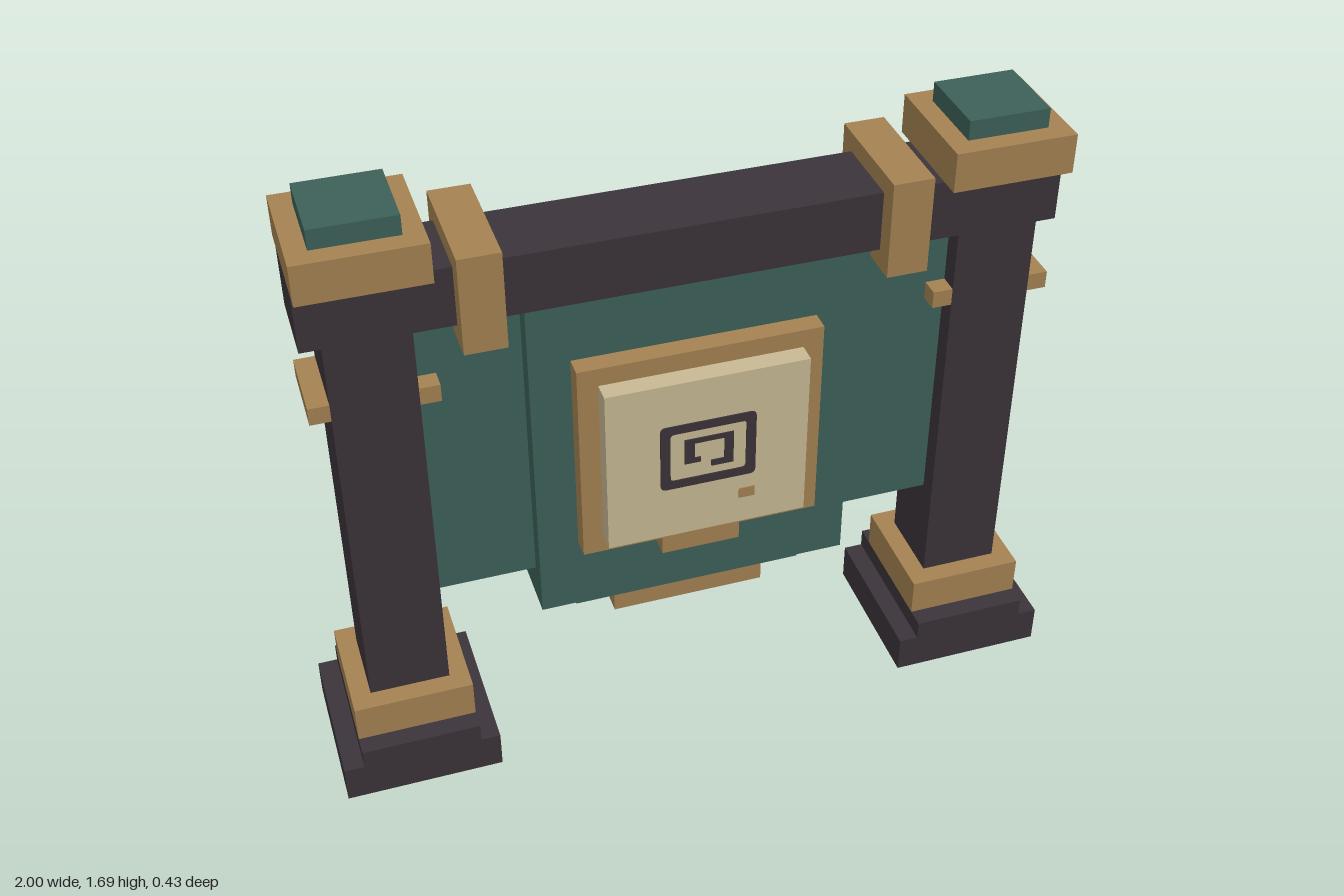
import * as THREE from 'three';

export function createModel() {
  const model = new THREE.Group();
  const mat = (name, color) => {
    const m = new THREE.MeshStandardMaterial({ color });
    m.name = name;
    return m;
  };
  const dark = mat('dark wood', 0x3b343a);
  const gold = mat('bronze', 0xa58252);
  const green = mat('green cloth', 0x3c6159);
  const cream = mat('parchment', 0xc9b994);

  // Box given by its x and y limits and its z limits
  const box = (parent, name, material, x0, x1, y0, y1, z1, z0 = -z1) => {
    const mesh = new THREE.Mesh(new THREE.BoxGeometry(x1 - x0, y1 - y0, z1 - z0), material);
    mesh.position.set((x0 + x1) / 2, (y0 + y1) / 2, (z0 + z1) / 2);
    mesh.name = name;
    parent.add(mesh);
    return mesh;
  };

  // Posts with stepped feet, collars, caps and beam clamps
  for (const side of [1, -1]) {
    const post = new THREE.Group();
    post.name = side > 0 ? 'leftPost' : 'rightPost';
    const part = (name, material, a, b, y0, y1, z) =>
      box(post, name, material, Math.min(a * side, b * side), Math.max(a * side, b * side), y0, y1, z);
    part('foot', dark, 0.58, 1, 0, 0.105, 0.21);
    part('footStep', dark, 0.632, 0.947, 0.105, 0.158, 0.21);
    part('footCollar', gold, 0.632, 0.947, 0.158, 0.263, 0.158);
    part('pillar', dark, 0.684, 0.895, 0.263, 1.37, 0.105);
    part('pillarBand', gold, 0.632, 0.947, 1.163, 1.21, 0.104);
    part('cap', gold, 0.632, 0.947, 1.53, 1.635, 0.158);
    part('finial', green, 0.684, 0.895, 1.635, 1.687, 0.105);
    part('beamClamp', gold, 0.474, 0.58, 1.32, 1.58, 0.158);
    part('sidePanel', green, 0.421, 0.684, 0.53, 1.37, 0.053);
    model.add(post);
  }

  // Crossbeam and hanging banner
  box(model, 'crossbeam', dark, -0.947, 0.947, 1.37, 1.53, 0.105);
  box(model, 'banner', green, -0.421, 0.421, 0.424, 1.37, 0.105);
  box(model, 'bannerHem', green, -0.316, 0.316, 0.37, 0.424, 0.053);
  box(model, 'bannerWeight', gold, -0.21, 0.21, 0.318, 0.37, 0.053);

  // Plaque passing through the banner
  box(model, 'plaqueFrame', gold, -0.316, 0.316, 0.634, 1.21, 0.158);
  box(model, 'plaqueTab', gold, -0.105, 0.105, 0.582, 0.634, 0.158);
  box(model, 'plaque', cream, -0.263, 0.263, 0.685, 1.16, 0.21);

  // Rounded rectangle outline for the painted ring
  const roundRect = (path, w, h, r) => {
    path.moveTo(-w + r, -h);
    path.lineTo(w - r, -h);
    path.quadraticCurveTo(w, -h, w, -h + r);
    path.lineTo(w, h - r);
    path.quadraticCurveTo(w, h, w - r, h);
    path.lineTo(-w + r, h);
    path.quadraticCurveTo(-w, h, -w, h - r);
    path.lineTo(-w, -h + r);
    path.quadraticCurveTo(-w, -h, -w + r, -h);
    return path;
  };
  const ring = roundRect(new THREE.Shape(), 0.125, 0.098, 0.015);
  ring.holes.push(roundRect(new THREE.Path(), 0.099, 0.073, 0.01));
  const ringGeometry = new THREE.ExtrudeGeometry(ring, { depth: 0.003, bevelEnabled: false, curveSegments: 4 });

  // Painted spiral and dot, the same on both faces
  for (const turn of [0, Math.PI]) {
    const emblem = new THREE.Group();
    emblem.name = turn ? 'backEmblem' : 'frontEmblem';
    emblem.rotation.y = turn;
    const outer = new THREE.Mesh(ringGeometry, dark);
    outer.name = 'emblemRing';
    outer.position.set(0, 0.937, 0.21);
    emblem.add(outer);
    const stroke = (name, material, x0, x1, y0, y1) =>
      box(emblem, name, material, x0, x1, y0, y1, 0.213, 0.209);
    stroke('spiralLeft', dark, -0.062, -0.036, 0.91, 0.985);
    stroke('spiralTop', dark, -0.036, 0.042, 0.97, 0.985);
    stroke('spiralRight', dark, 0.042, 0.066, 0.889, 0.985);
    stroke('spiralBottom', dark, 0.008, 0.042, 0.889, 0.907);
    stroke('spiralEnd', dark, -0.036, -0.02, 0.91, 0.925);
    stroke('dot', gold, 0.083, 0.125, 0.765, 0.795);
    model.add(emblem);
  }

  return model;
}
